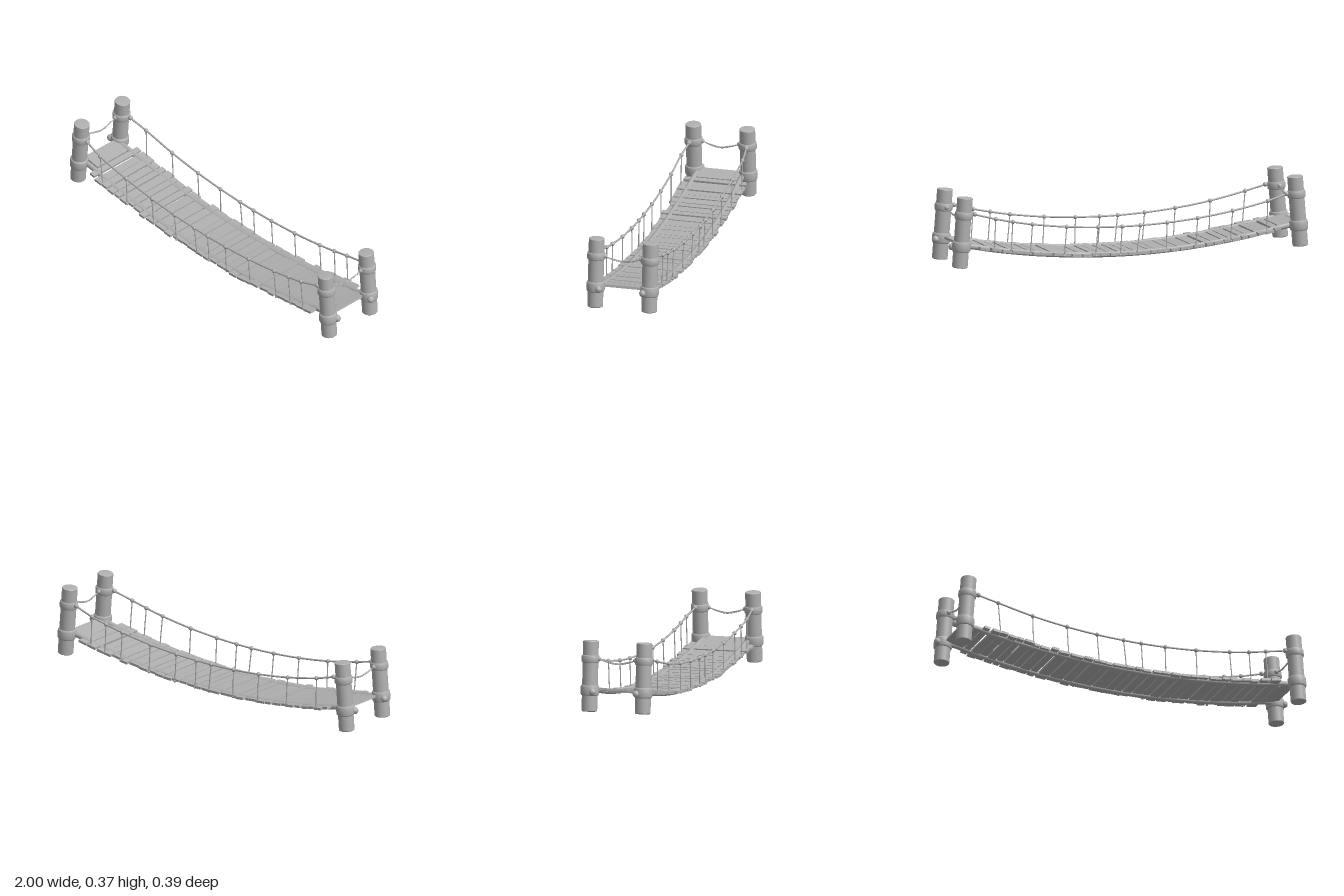
import * as THREE from 'three';

const wornGrey = new THREE.MeshStandardMaterial({ color: 0xb0b0b0 });
wornGrey.name = 'wornGrey';

// Small seeded generator, gives values from -1 to 1
let seed = 11;
const vary = () => {
  seed = (seed * 16807) % 2147483647;
  return (seed / 2147483647) * 2 - 1;
};

const V = (x, y, z) => new THREE.Vector3(x, y, z);
const deckY = (x) => Math.min(0.112, 0.018 + 0.115 * x * x);
const railY = (x) => 0.168 + 0.135 * x * x + 0.02 * x ** 4;

export function createModel() {
  const model = new THREE.Group();
  model.name = 'ropeBridge';

  const add = (name, geometry, parent = model) => {
    const mesh = new THREE.Mesh(geometry, wornGrey);
    mesh.name = name;
    parent.add(mesh);
    return mesh;
  };
  const rope = (name, points, radius, segments) =>
    add(name, new THREE.TubeGeometry(new THREE.CatmullRomCurve3(points), segments, radius, 8));
  const knot = (name, p, radius) => {
    const mesh = add(name, new THREE.SphereGeometry(radius, 8, 6));
    mesh.position.copy(p);
    return mesh;
  };

  // Rounded collar of wound rope, drawn as a lathe profile
  const collarProfile = (r, h) => [
    [0.036, -h], [r - 0.004, -h], [r, -h * 0.75], [r + 0.001, 0], [r, h * 0.75], [r - 0.004, h], [0.036, h],
  ].map(([x, y]) => new THREE.Vector2(x, y));

  // Four leaning posts with two rope collars each
  for (const sx of [-1, 1]) {
    for (const sz of [-1, 1]) {
      const post = new THREE.Group();
      post.name = (sx > 0 ? 'left' : 'right') + (sz > 0 ? 'Front' : 'Back') + 'Post';
      post.position.set(sx * 0.934, 0.188, sz * 0.146);
      post.rotation.z = sx * 0.08;
      model.add(post);
      const body = [[0, -0.185], [0.037, -0.185], [0.041, -0.181], [0.041, 0.181], [0.038, 0.185], [0, 0.185]];
      add('postLog', new THREE.CylinderGeometry(0.041, 0.041, 0.362, 20, 1, true), post);
      for (const end of [body.slice(0, 3), body.slice(3)]) {
        add('postEnd', new THREE.LatheGeometry(end.map(([x, y]) => new THREE.Vector2(x, y)), 20), post);
      }
      add('lowerCollar', new THREE.LatheGeometry(collarProfile(0.048, 0.027), 20), post).position.y = -0.074;
      add('upperCollar', new THREE.LatheGeometry(collarProfile(0.047, 0.02), 20), post).position.y = 0.09;
      knot('crossRopeKnot', V(sx * 0.928, 0.279, sz * 0.1), 0.013);
      knot('railEndKnot', V(sx * 0.868, 0.282, sz * 0.155), 0.013);
      knot('deckRopeKnot', V(sx * 0.982, 0.112, sz * 0.12), 0.019);
    }

    // Pair of sagging ropes across each end
    for (const sag of [0.252, 0.257]) {
      rope('crossRope', [V(sx * 0.928, 0.278, -0.1), V(sx * 0.925, sag + 0.007, -0.045),
        V(sx * 0.922, sag, 0.002), V(sx * 0.925, sag + 0.008, 0.05), V(sx * 0.928, 0.278, 0.1)], 0.0025, 20);
    }
  }

  // Side ropes: heavy deck rope, handrail, and the hangers joining them
  const hangers = [-0.76, -0.565, -0.37, -0.2, -0.05, 0.05, 0.185, 0.36, 0.55, 0.66, 0.755];
  for (const sz of [-1, 1]) {
    const deckPoints = [];
    for (let i = 0; i <= 20; i++) {
      const x = -0.982 + 1.964 * i / 20;
      deckPoints.push(V(x, deckY(x), sz * (0.12 + 0.012 * (1 - x * x))));
    }
    rope('deckRope', deckPoints, 0.0145, 60);

    const ends = [-0.868, ...hangers, 0.868];
    rope('handrail', ends.map((x) => V(x, railY(x), sz * (Math.abs(x) > 0.8 ? 0.155 : 0.165))), 0.005, 72);

    for (const x of hangers) {
      const top = V(x, railY(x), sz * 0.165);
      const foot = V(x + 0.012 + 0.008 * vary(), deckY(x), sz * 0.163);
      rope('hanger', [top, foot], 0.003, 1);
      knot('hangerKnot', top, 0.0115);
      knot('hangerFoot', foot, 0.008);
    }
  }

  // Uneven planks that follow the sag of the deck
  const plank = (x, width, length) => {
    const mesh = add('plank', new THREE.BoxGeometry(width, 0.013, length));
    mesh.position.set(x, deckY(x) + 0.003 + 0.002 * vary(), 0.004 * vary());
    const slope = Math.abs(x) > 0.9 ? 0 : Math.atan(0.23 * x);
    mesh.rotation.set(0, 0.012 * vary(), slope + 0.03 * vary());
  };
  for (const sx of [-1, 1]) plank(sx * 0.892, 0.1, 0.215);
  let x = -0.835;
  while (x < 0.82) {
    const width = Math.min(0.052 + 0.02 * vary(), 0.84 - x);
    plank(x + width / 2, width, 0.338 + 0.014 * vary());
    x += width + 0.006 + 0.004 * vary();
  }

  return model;
}
